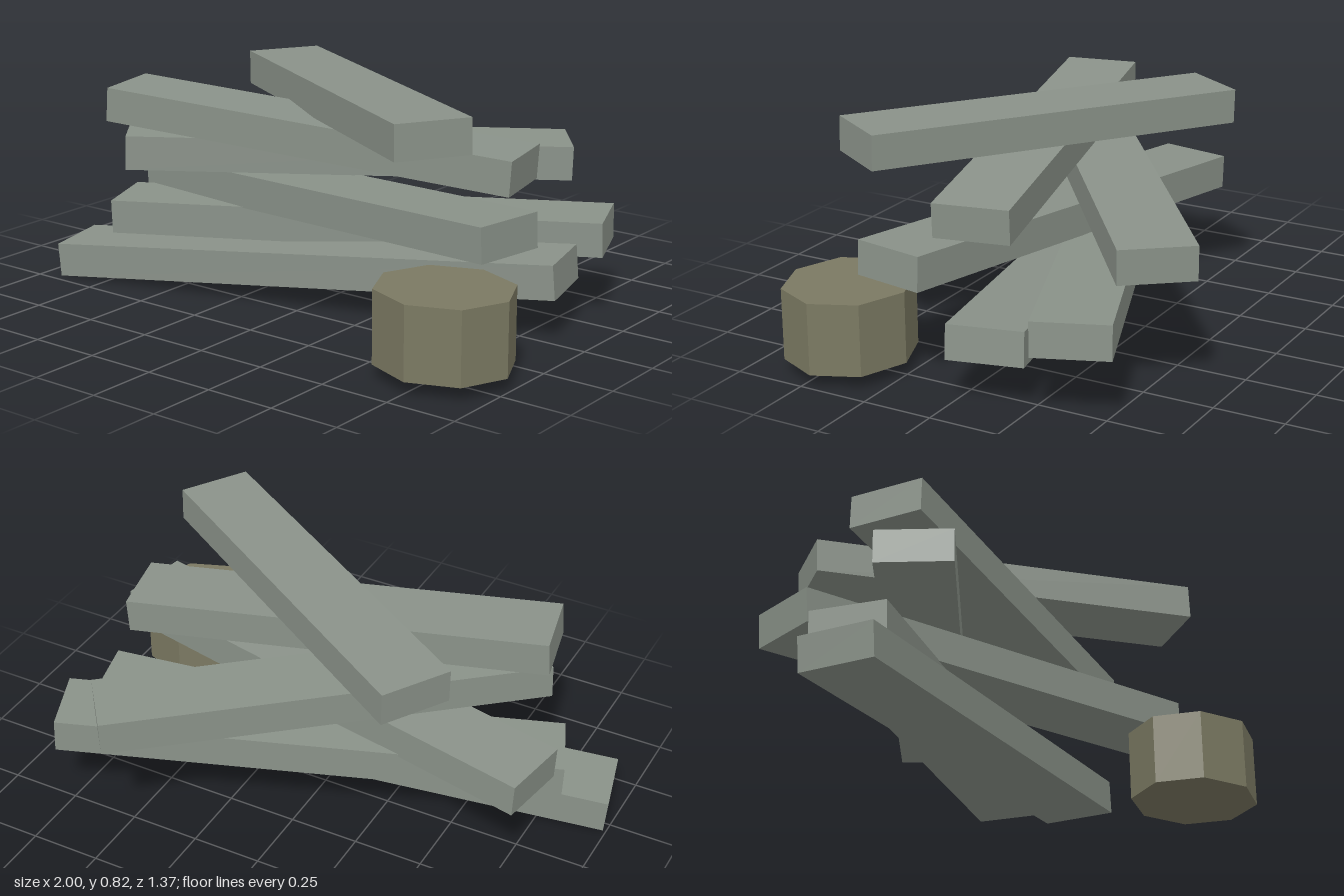
import * as THREE from 'three';

export function createModel() {
  const group = new THREE.Group();
  group.name = 'beamPile';

  const stone = new THREE.MeshStandardMaterial({ color: 0x8a9289, flatShading: true });
  stone.name = 'grey stone';
  const olive = new THREE.MeshStandardMaterial({ color: 0x7b7962, flatShading: true });
  olive.name = 'olive stone';

  // Each beam: centre of its left end and centre of its right end
  const beams = [
    [[-0.962, 0.061, 0.338], [0.852, 0.215, -0.115]],
    [[-0.81, 0.23, 0.24], [0.835, 0.285, -0.417]],
    [[-0.815, 0.334, -0.042], [0.856, 0.421, 0.242]],
    [[-0.655, 0.52, 0.375], [0.57, 0.477, -0.582]],
    [[-0.721, 0.669, 0.312], [0.749, 0.571, -0.007]],
    [[-0.475, 0.72, -0.275], [0.707, 0.76, 0.455]],
  ];
  beams.forEach(([a, b], i) => {
    const start = new THREE.Vector3(...a);
    const end = new THREE.Vector3(...b);
    const d = end.clone().sub(start);
    const beam = new THREE.Mesh(new THREE.BoxGeometry(d.length(), 0.12, 0.262), stone);
    beam.name = `beam${i + 1}`;
    beam.position.copy(start).lerp(end, 0.5);
    // Tilt along the length first, then turn about the vertical
    beam.rotation.set(0, Math.atan2(-d.z, d.x), Math.atan2(d.y, Math.hypot(d.x, d.z)));
    group.add(beam);
  });

  // Eight-sided drum, slightly wider than deep
  const drum = new THREE.Mesh(new THREE.CylinderGeometry(1, 1, 0.25, 8), olive);
  drum.name = 'drum';
  drum.scale.set(0.238, 1, 0.218);
  drum.position.set(0.762, 0.173, 0.462);
  group.add(drum);

  return group;
}
